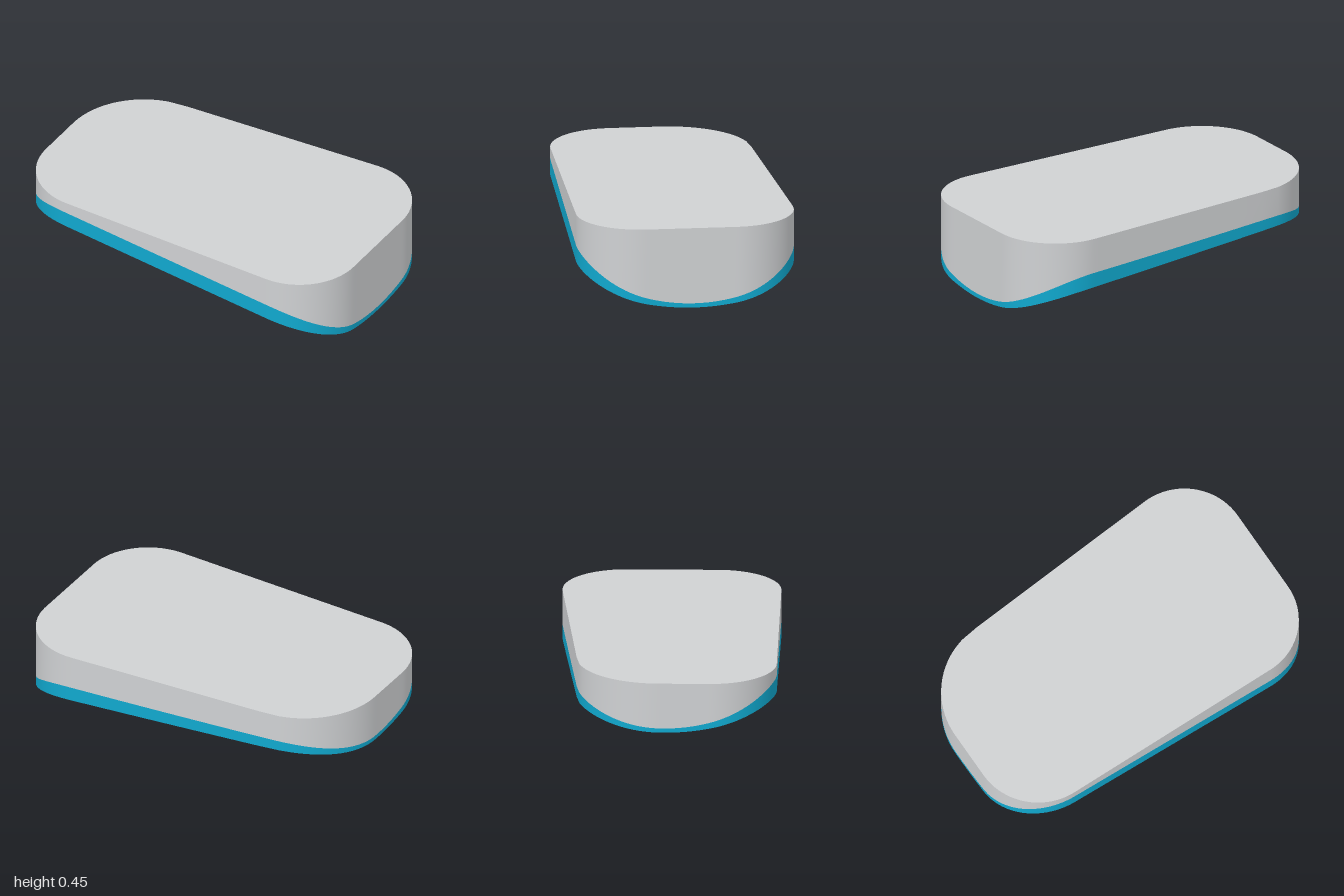
import * as THREE from 'three';

const STEPS = 64;
const TOP = 0.457;

// Plan outline: left and right limits of x at each depth z
const arc = (r, d) => Math.sqrt(Math.max(0, r * r - d * d));
function leftX(z) {
  if (z > 0.24) return -0.64 - arc(0.36, z - 0.24);
  if (z > -0.04) return -1;
  if (z > -0.496) return -0.542 - arc(0.458, z + 0.04);
  if (z > -0.599) return -0.581 + (-0.496 - z) * 11.66;
  return 0.65 - arc(0.35, z + 0.25);
}
function rightX(z) {
  if (z > 0.25) return 0.65 + arc(0.35, z - 0.25);
  if (z > -0.25) return 1;
  return 0.65 + arc(0.35, z + 0.25);
}

// Heights: a shallow trough along x that slopes down towards +x
const trough = (base, r) => (x, z) =>
  base + 0.085 * (1 - x) + r - Math.sqrt(r * r - (z + 0.015) ** 2);
const bottomY = trough(0.004, 1.3);
const seamY = trough(0.028, 0.96);
const topY = () => TOP;

function makeGeometry(positions, index) {
  const g = new THREE.BufferGeometry();
  g.setAttribute('position', new THREE.Float32BufferAttribute(positions, 3));
  g.setIndex(index);
  g.computeVertexNormals();
  return g;
}

// Rows run from front to back, with cosine spacing to keep the corners round
const rows = Array.from({ length: STEPS + 1 }, (_, i) => {
  const z = 0.6 * Math.cos((Math.PI * i) / STEPS);
  return { z, l: leftX(z), r: rightX(z) };
});

// Outline, counter-clockwise from above, starting at the front right
const outline = [
  ...rows.map(({ z, r }) => [r, z]),
  ...rows.slice(0, -1).reverse().map(({ z, l }) => [l, z]),
];

// Surface across the outline, facing up or down
function cap(height, up) {
  const pos = [], index = [];
  rows.forEach(({ z, l, r }, i) => {
    pos.push(l, height(l, z), z, r, height(r, z), z);
    if (i === STEPS) return;
    const a = 2 * i, b = a + 1, c = a + 3, d = a + 2;
    if (up) index.push(a, b, c, a, c, d);
    else index.push(a, c, b, a, d, c);
  });
  return makeGeometry(pos, index);
}

// Upright band around the outline between two heights
function wall(low, high) {
  const pos = [], index = [], n = outline.length;
  outline.forEach(([x, z], i) => {
    pos.push(x, low(x, z), z, x, high(x, z), z);
    const p = 2 * i, q = 2 * ((i + 1) % n);
    index.push(p, q, q + 1, p, q + 1, p + 1);
  });
  return makeGeometry(pos, index);
}

export function createModel() {
  const grey = new THREE.MeshStandardMaterial({ color: 0xcfd1d3 });
  grey.name = 'light grey';
  const blue = new THREE.MeshStandardMaterial({ color: 0x10a8ce });
  blue.name = 'bright blue';

  const model = new THREE.Group();
  model.name = 'curvedBlock';
  const add = (name, geometry, material) => {
    const mesh = new THREE.Mesh(geometry, material);
    mesh.name = name;
    model.add(mesh);
  };

  // Grey body
  add('topFace', cap(topY, true), grey);
  add('bodyWall', wall(seamY, topY), grey);

  // Blue sole
  add('soleWall', wall(bottomY, seamY), blue);
  add('soleUnderside', cap(bottomY, false), blue);

  return model;
}
